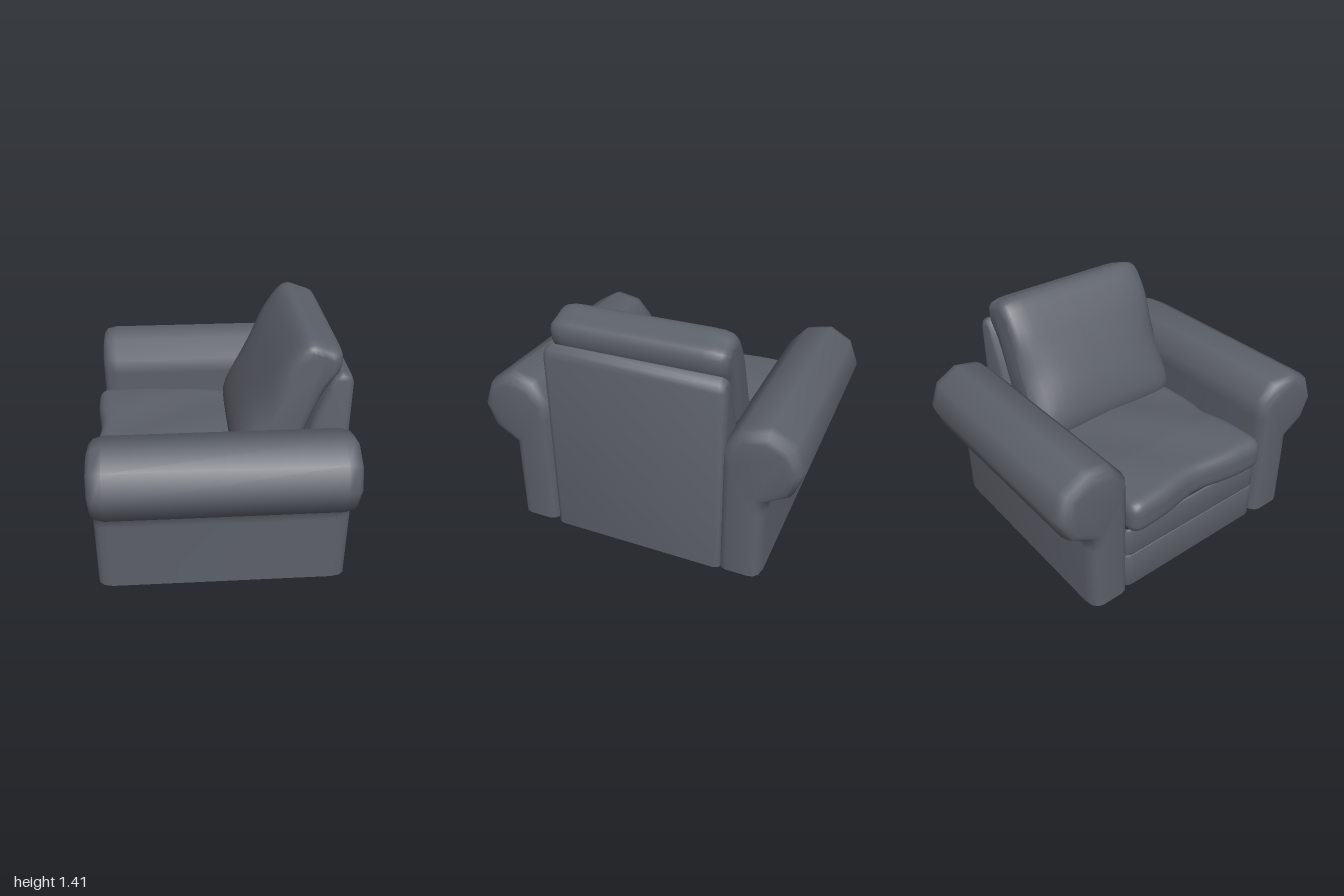
import * as THREE from 'three';
import { mergeVertices, toCreasedNormals } from 'three/addons/utils/BufferGeometryUtils.js';

// The frame is an open shell below, so both sides of the fabric show
const fabric = new THREE.MeshStandardMaterial({ color: 0x5c6068, side: THREE.DoubleSide });
fabric.name = 'slate fabric';

const bump = (t, c, w) => Math.exp(-(((t - c) / w) ** 2));
const clamp = THREE.MathUtils.clamp;

// Shrinks a closed outline by mitred corners; points on the floor stay on it.
function insetOutline(pts, d) {
  const sign = THREE.ShapeUtils.isClockWise(pts) ? -1 : 1;
  return pts.map((p, i) => {
    const a = pts[(i + pts.length - 1) % pts.length], b = pts[(i + 1) % pts.length];
    const e1 = p.clone().sub(a).normalize(), e2 = b.clone().sub(p).normalize();
    const n1 = new THREE.Vector2(-e1.y, e1.x), n2 = new THREE.Vector2(-e2.y, e2.x);
    const m = n1.clone().add(n2);
    m.multiplyScalar((sign * d) / Math.max(0.6, 1 + n1.dot(n2)));
    if (p.y < 0.001) m.set(sign * d * (Math.abs(n1.x) > Math.abs(n2.x) ? n1.x : n2.x), 0);
    return p.clone().add(m);
  });
}

// One outline swept from w0 to w1, its ends rounded by steps of [depth, inset].
// The outline edges listed in "open" get no surface.
function softSweep(pts, w0, w1, steps, place, crease, open = []) {
  const rings = [
    ...steps.map(([d, s]) => [w0 + d, s]),
    ...steps.slice().reverse().map(([d, s]) => [w1 - d, s]),
  ];
  const pos = [], idx = [], n = pts.length;
  for (const [w, s] of rings)
    for (const p of insetOutline(pts, s)) pos.push(...place(p.x, p.y, w));
  for (let r = 0; r < rings.length - 1; r++)
    for (let i = 0; i < n; i++) {
      if (open.includes(i)) continue;
      const a = r * n + i, b = r * n + ((i + 1) % n);
      idx.push(a, b, b + n, a, b + n, a + n);
    }
  // end caps
  const last = (rings.length - 1) * n;
  const ccw = !THREE.ShapeUtils.isClockWise(pts);
  for (const [a, b, c] of THREE.ShapeUtils.triangulateShape(insetOutline(pts, steps[0][1]), [])) {
    const area = (pts[b].x - pts[a].x) * (pts[c].y - pts[a].y) - (pts[b].y - pts[a].y) * (pts[c].x - pts[a].x);
    const [p, q] = (area > 0) === ccw ? [b, c] : [c, b];
    idx.push(a, q, p, last + a, last + p, last + q);
  }
  // turn the faces outward
  let volume = 0;
  const v = (i) => new THREE.Vector3().fromArray(pos, i * 3);
  for (let i = 0; i < idx.length; i += 3)
    volume += v(idx[i]).dot(v(idx[i + 1]).cross(v(idx[i + 2])));
  if (volume < 0) idx.reverse();
  const g = new THREE.BufferGeometry();
  g.setAttribute('position', new THREE.Float32BufferAttribute(pos, 3));
  g.setIndex(idx);
  return toCreasedNormals(g, crease);
}

const vec = (list) => list.map(([x, y]) => new THREE.Vector2(x, y));
const smoothLoop = (list, count) => {
  const c = new THREE.CatmullRomCurve3(list.map(([x, y]) => new THREE.Vector3(x, y, 0)), true);
  return c.getPoints(count).slice(0, count).map((p) => new THREE.Vector2(p.x, p.y));
};

// Thin front panel of the seat with rounded corners and short returns
function frontBand(y0, y1) {
  const x0 = -0.72, x1 = -0.63, c = -0.525, e = 0.557, r = 0.06, t = 0.02, bevel = 0.009;
  const inner = new THREE.Shape();
  inner.moveTo(x1, e - t).lineTo(x0 + r, e - t);
  inner.quadraticCurveTo(x0 + t, e - t, x0 + t, e - r).lineTo(x0 + t, c + r);
  inner.quadraticCurveTo(x0 + t, c + t, x0 + r, c + t).lineTo(x1, c + t);
  const outer = new THREE.Shape();
  outer.moveTo(x1, c).lineTo(x0 + r, c).quadraticCurveTo(x0, c, x0, c + r);
  outer.lineTo(x0, e - r).quadraticCurveTo(x0, e, x0 + r, e).lineTo(x1, e);
  const g = new THREE.ExtrudeGeometry(new THREE.Shape([...outer.getPoints(5), ...inner.getPoints(5)]), {
    depth: y1 - y0 - 2 * bevel, bevelSize: bevel, bevelThickness: bevel,
    bevelOffset: -bevel, bevelSegments: 2,
  });
  g.rotateX(-Math.PI / 2).translate(0, y0 + bevel, 0);
  return toCreasedNormals(g, 0.8);
}

// Plump seat cushion: a rounded block with a crown, a hollow front and pinched sides
function seatCushionGeometry() {
  const hx = 0.535, hy = 0.112, hz = 0.525, r = 0.075;
  let g = new THREE.BoxGeometry(hx * 2, hy * 2, hz * 2, 40, 10, 40);
  g.deleteAttribute('normal');
  g.deleteAttribute('uv');
  g = mergeVertices(g);
  const p = g.attributes.position, v = new THREE.Vector3(), core = new THREE.Vector3();
  for (let i = 0; i < p.count; i++) {
    v.fromBufferAttribute(p, i);
    core.set(clamp(v.x, r - hx, hx - r), clamp(v.y, r - hy, hy - r), clamp(v.z, r - hz, hz - r));
    v.sub(core).normalize().multiplyScalar(r).add(core);
    const u = v.x / hx, s = v.z / hz;
    if (v.y > 0) {
      v.y += 0.025 * (1 - u * u) * (1 - s * s) - 0.035 * Math.max(0, u + 0.3);
      v.y += 0.008 * Math.sin(5 * s + 3 * u) * (1 - u ** 4);
    } else v.y += 0.02 * bump(s, 0.1, 0.4) * bump(u, -1, 0.3);
    if (u < 0) v.x += 0.04 * bump(s, -0.05, 0.4) * u * u;
    v.z -= Math.sign(s) * s * s * 0.03 * bump(u, -0.1, 0.22);
    p.setXYZ(i, v.x - 0.235, v.y + 0.535, v.z - 0.013);
  }
  g.computeVertexNormals();
  return g;
}

export function createModel() {
  const model = new THREE.Group();
  model.name = 'armchair';
  const add = (name, geometry) => {
    const mesh = new THREE.Mesh(geometry, fabric);
    mesh.name = name;
    model.add(mesh);
  };
  const alongZ = (x, y, z) => [x, y, z];
  const alongX = (z, y, x) => [x, y, z];

  // Rolled arms, one on each side of the seat, open at the floor
  const arm = [[0.533, 0], [0.8, 0], [0.8, 0.44], [0.8, 0.52], [0.94, 0.6], [1, 0.76], [0.94, 0.91],
    [0.8, 0.99], [0.64, 0.96], [0.535, 0.84], [0.533, 0.74]];
  const armEnds = [[0, 0.065], [0.01, 0.035], [0.035, 0.012], [0.09, 0]];
  for (const [name, side] of [['armNear', 1], ['armFar', -1]])
    add(name, softSweep(vec(arm.map(([z, y]) => [z * side, y])), -0.735, 0.757, armEnds, alongX, 1.2, [0]));

  // Upright back with the seat sides in one shell, open at floor, seat and front
  const body = [[-0.64, 0], [0.767, 0], [0.767, 1.17], [0.75, 1.215], [0.70, 1.237], [0.655, 1.21],
    [0.62, 1.13], [0.56, 0.98], [0.5, 0.75], [0.45, 0.46], [-0.64, 0.45]];
  add('backAndSeatSides', softSweep(vec(body), -0.56, 0.527,
    [[0, 0.025], [0.01, 0.01], [0.035, 0]], alongZ, 0.9, [0, 9, 10]));

  // Leaning back cushion, bulging at mid width, its foot tucked behind the seat cushion
  const pillow = [[0.11, 0.58], [0.09, 0.68], [0.125, 0.82], [0.205, 0.99], [0.3, 1.16], [0.38, 1.285],
    [0.48, 1.4], [0.535, 1.415], [0.61, 1.39], [0.685, 1.358], [0.706, 1.3], [0.69, 1.22], [0.62, 1.12],
    [0.55, 0.95], [0.47, 0.72], [0.4, 0.5], [0.31, 0.43], [0.2, 0.46]];
  const bulge = (x, y, z) => {
    const front = clamp((0.38 + 0.37 * (y - 0.99) - x) / 0.17, 0, 1);
    return [x + 0.1 * Math.abs((z + 0.0125) / 0.5325) ** 4 * bump(y, 0.95, 0.26) * front, y, z];
  };
  add('backCushion', softSweep(smoothLoop(pillow, 54), -0.545, 0.52, [[0, 0.055], [0.012, 0.032],
    [0.035, 0.014], [0.08, 0.003], [0.14, 0], [0.22, 0], [0.32, 0], [0.45, 0]], bulge, 1.4));

  // Seat: two thin front bands under a plump cushion
  add('frontBandLower', frontBand(0, 0.25));
  add('frontBandUpper', frontBand(0.25, 0.45));
  add('seatCushion', seatCushionGeometry());
  return model;
}
